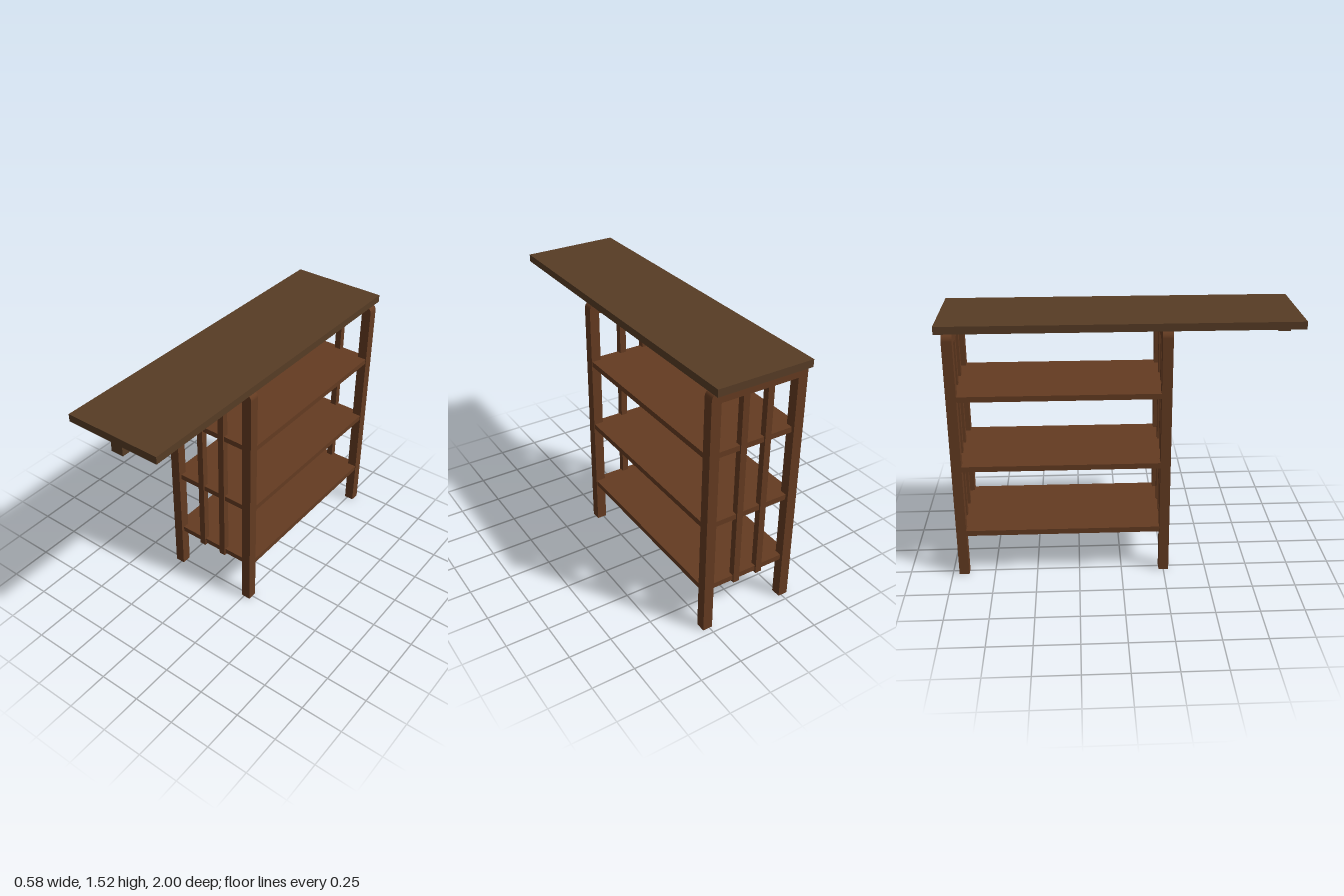
import * as THREE from 'three';

const legWood = new THREE.MeshStandardMaterial({ color: 0x643b21 });
const topWood = new THREE.MeshStandardMaterial({ color: 0x573c25 });

const HALF = 0.29;      // outer half width of an end frame
const POST = 0.058;     // thickness of the posts
const FRAME_TOP = 1.48;
const RAIL_BOTTOM = 1.417;
const FRAME_Z = [0.251, -0.932];

function box(name, size, position, material) {
  const mesh = new THREE.Mesh(new THREE.BoxGeometry(...size), material);
  mesh.name = name;
  mesh.position.set(...position);
  return mesh;
}

// Arch of two legs and a top rail with rounded outer corners
function frameGeometry() {
  const inner = HALF - POST, r = 0.038;
  const s = new THREE.Shape();
  s.moveTo(-HALF, 0);
  s.lineTo(-inner, 0);
  s.lineTo(-inner, RAIL_BOTTOM);
  s.lineTo(inner, RAIL_BOTTOM);
  s.lineTo(inner, 0);
  s.lineTo(HALF, 0);
  s.lineTo(HALF, FRAME_TOP - r);
  s.absarc(HALF - r, FRAME_TOP - r, r, 0, Math.PI / 2, false);
  s.lineTo(-HALF + r, FRAME_TOP);
  s.absarc(-HALF + r, FRAME_TOP - r, r, Math.PI / 2, Math.PI, false);
  s.closePath();
  const g = new THREE.ExtrudeGeometry(s, { depth: POST, bevelEnabled: false, curveSegments: 8 });
  return g.translate(0, 0, -POST / 2);
}

export function createModel() {
  const model = new THREE.Group();
  model.name = 'shelfTable';

  // Long table top overhanging the front frame
  model.add(box('tableTop', [0.57, 0.043, 2], [0, 1.5015, 0], topWood));

  // End frames, each with two upright slats
  const arch = frameGeometry();
  FRAME_Z.forEach((z, i) => {
    const frame = new THREE.Group();
    frame.name = i === 0 ? 'frontFrame' : 'backFrame';
    frame.position.z = z;
    const legs = new THREE.Mesh(arch, legWood);
    legs.name = 'legArch';
    frame.add(legs);
    const slatBottom = 0.243, slatHeight = RAIL_BOTTOM - slatBottom;
    for (const x of [-0.075, 0.075]) {
      frame.add(box('slat', [0.038, slatHeight, 0.038], [x, slatBottom + slatHeight / 2, 0], legWood));
    }
    model.add(frame);
  });

  // Three shelves let into the frames
  const shelfFront = FRAME_Z[0] + 0.01, shelfBack = FRAME_Z[1] - 0.01;
  for (const y of [0.273, 0.685, 1.108]) {
    model.add(box('shelf', [0.572, 0.032, shelfFront - shelfBack],
      [0, y, (shelfFront + shelfBack) / 2], legWood));
  }

  // Small block hanging under the front overhang
  model.add(box('blockNeck', [0.046, 0.024, 0.046], [0, 1.47, 0.938], topWood));
  model.add(box('hangingBlock', [0.074, 0.068, 0.07], [0, 1.429, 0.937], topWood));

  return model;
}
